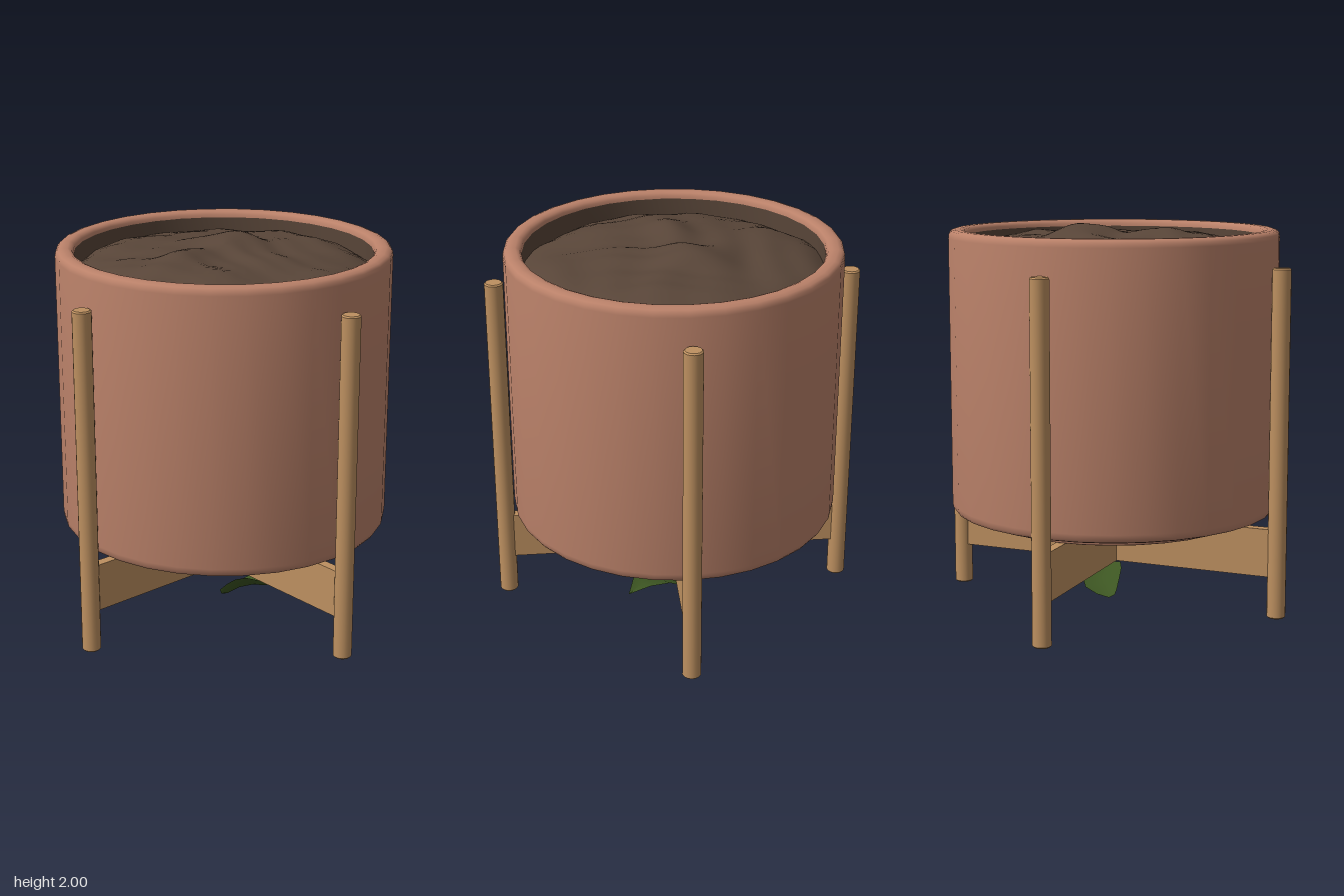
import * as THREE from 'three';
import { mergeVertices, toCreasedNormals } from 'three/addons/utils/BufferGeometryUtils.js';

const mat = (name, color, side = THREE.FrontSide) => {
  const m = new THREE.MeshStandardMaterial({ color, side });
  m.name = name;
  return m;
};

function lathe(points, segments = 32) {
  const g = new THREE.LatheGeometry(points.map(([r, y]) => new THREE.Vector2(r, y)), segments);
  return toCreasedNormals(g, 0.7);
}

// Uneven soil: flat in the middle, falling at the edge, with ripples and low peaks
function soilHeight(x, z) {
  const r = Math.hypot(x, z) / 0.765;
  const u = x + 0.08 * Math.sin(5 * z + 1), v = z + 0.08 * Math.sin(6 * x + 2);
  const ripple = 0.014 * Math.sin(7 * u + 3 * v + 1) + 0.012 * Math.sin(12 * v - 4 * u + 2)
    + 0.008 * Math.sin(19 * u + 11 * v) + 0.005 * Math.sin(31 * v - 17 * u + 1.5);
  const bump = (h, px, pz, w) => h * Math.exp(-((x - px) ** 2 + (z - pz) ** 2) / w);
  return 1.82 + 0.1 * (1 - r ** 5) + ripple * (1 - 0.5 * r)
    + bump(0.055, 0, -0.2, 0.015) + bump(0.035, -0.15, 0.2, 0.012);
}

function soilGeometry() {
  let g = new THREE.RingGeometry(0.001, 0.762, 64, 24);
  g.rotateX(-Math.PI / 2);
  g.deleteAttribute('uv');
  g.deleteAttribute('normal');
  g = mergeVertices(g);
  const p = g.attributes.position;
  let top = 0;
  for (let i = 0; i < p.count; i++) {
    p.setY(i, soilHeight(p.getX(i), p.getZ(i)));
    top = Math.max(top, p.getY(i));
  }
  // Bring the highest point to exactly 2
  g.translate(0, 2 - top, 0);
  g.computeVertexNormals();
  return g;
}

// Folded leaf: rows of left edge, midrib and right edge
function leafGeometry() {
  const rows = [
    [[-0.02, 0.045, 0.01], [-0.015, 0.02, 0], [-0.01, 0.005, -0.03]],
    [[0.03, 0.1, 0.035], [0.02, 0.025, -0.005], [0.02, 0.02, -0.09]],
    [[0.08, 0.14, 0.055], [0.08, 0.06, -0.02], [0.06, 0.05, -0.145]],
    [[0.14, 0.16, 0.06], [0.15, 0.08, -0.03], [0.15, 0.105, -0.155]],
    [[0.24, 0.135, 0.03], [0.25, 0.085, -0.04], [0.25, 0.105, -0.115]],
    [[0.35, 0.06, -0.05], [0.35, 0.06, -0.05], [0.35, 0.06, -0.05]],
  ];
  const index = [];
  for (let r = 0; r < rows.length - 1; r++) {
    for (let c = 0; c < 2; c++) {
      const a = r * 3 + c, b = a + 3;
      index.push(a, a + 1, b, b, a + 1, b + 1);
    }
  }
  const g = new THREE.BufferGeometry();
  g.setAttribute('position', new THREE.Float32BufferAttribute(rows.flat(2), 3));
  g.setIndex(index);
  g.computeVertexNormals();
  return g;
}

export function createModel() {
  const model = new THREE.Group();
  model.name = 'planter';
  const clay = mat('terracotta', 0xba8169);
  const wood = mat('wood', 0xbd9060);
  const earth = mat('soil', 0x584538);
  const green = mat('leaf green', 0x3d5622, THREE.DoubleSide);

  const add = (parent, name, geometry, material) => {
    const m = new THREE.Mesh(geometry, material);
    m.name = name;
    parent.add(m);
    return m;
  };

  // Pot with a solid foot disc and rounded rim
  add(model, 'pot', lathe([
    [0, 0.465], [0.68, 0.465], [0.687, 0.468], [0.69, 0.475],
    [0.69, 0.5], [0.7, 0.507], [0.72, 0.51], [0.815, 0.511], [0.84, 0.52], [0.851, 0.535], [0.854, 0.56],
    [0.854, 1.935], [0.851, 1.955], [0.84, 1.968], [0.82, 1.975],
    [0.79, 1.975], [0.772, 1.968], [0.763, 1.955], [0.76, 1.935],
  ]), clay);

  // Dark inner wall and soil
  add(model, 'innerWall', lathe([[0.76, 1.94], [0.76, 1.75]]), earth);
  add(model, 'soil', soilGeometry(), earth);

  // Stand: two crossed rails and four round legs
  const stand = new THREE.Group();
  stand.name = 'stand';
  stand.rotation.y = -Math.atan2(0.49, 0.76);
  model.add(stand);

  add(stand, 'longRail', new THREE.BoxGeometry(1.77, 0.25, 0.05), wood).position.y = 0.34;
  for (const s of [-1, 1]) {
    add(stand, 'halfRail', new THREE.BoxGeometry(0.05, 0.25, 0.86), wood)
      .position.set(0, 0.34, s * 0.455);
  }
  const legShape = lathe([
    [0, 0], [0.041, 0], [0.048, 0.007], [0.048, 1.793], [0.041, 1.8], [0, 1.8],
  ], 20);
  for (let i = 0; i < 4; i++) {
    const a = i * Math.PI / 2;
    add(stand, 'leg', legShape, wood).position.set(0.905 * Math.cos(a), 0, 0.905 * Math.sin(a));
  }

  // Fallen leaf beneath the stand
  add(model, 'leaf', leafGeometry(), green);
  return model;
}
